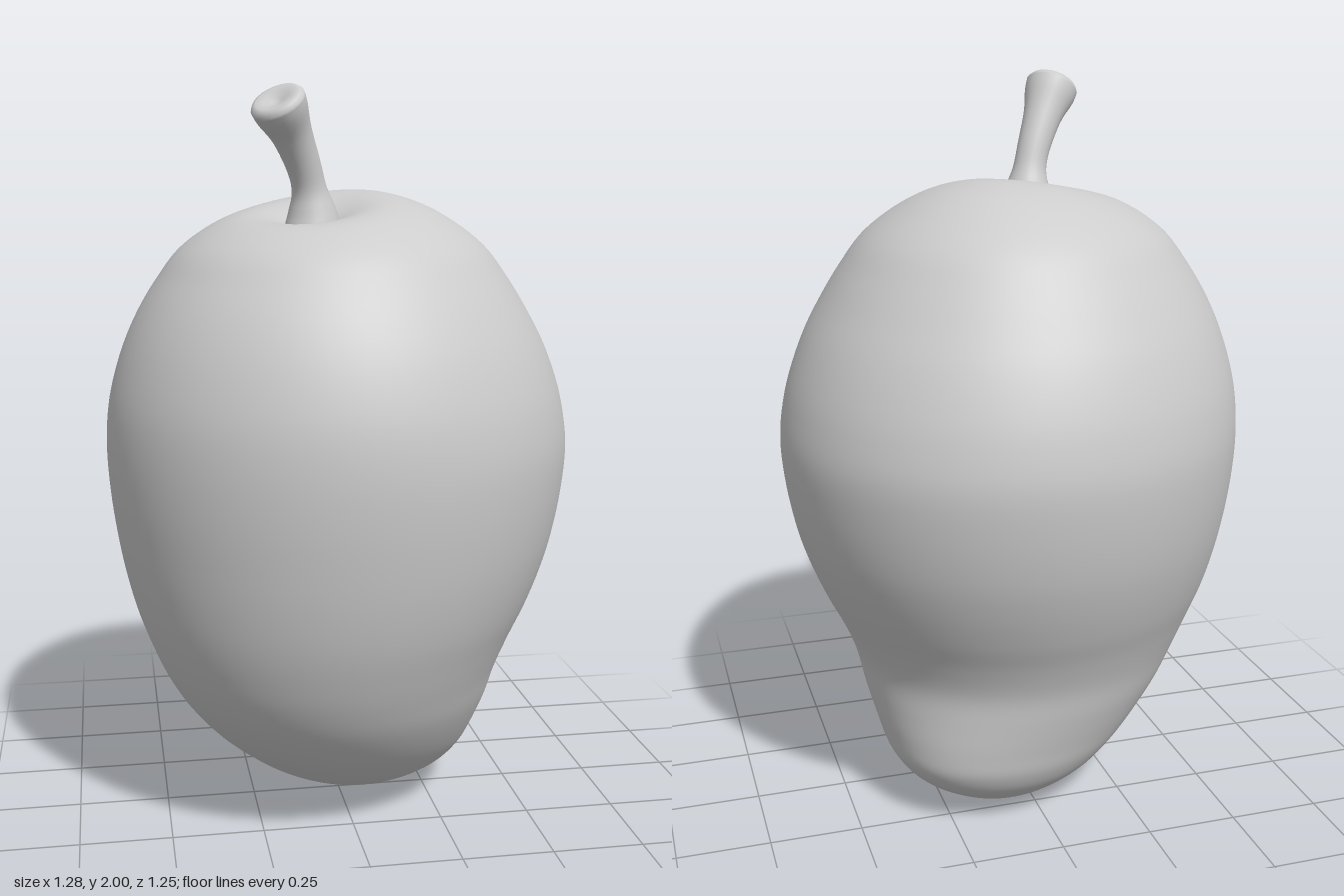
import * as THREE from 'three';
import { mergeVertices } from 'three/addons/utils/BufferGeometryUtils.js';

// Skin a stack of closed rings (each an array of Vector3) with smooth normals
function loft(rings) {
  const n = rings[0].length;
  const index = [];
  for (let i = 0; i < rings.length - 1; i++) {
    for (let j = 0; j < n; j++) {
      const k = (j + 1) % n;
      const a = i * n + j, b = i * n + k, c = (i + 1) * n + k, d = (i + 1) * n + j;
      index.push(a, b, c, a, c, d);
    }
  }
  const geometry = new THREE.BufferGeometry().setFromPoints(rings.flat());
  geometry.setIndex(index);
  const merged = mergeVertices(geometry, 1e-5);
  merged.computeVertexNormals();
  return merged;
}

const BEAK = new THREE.Vector3(1, 0, -1).normalize(); // direction the beak leans
const SIDE = new THREE.Vector3(-1, 0, -1).normalize();
const STEM_X = -0.09, STEM_Z = 0.12;

// Fruit: horizontal ellipses whose centres drift along the beak direction
function fruitGeometry() {
  // [height, reach on the beak side, reach on the far side]
  const profile = new THREE.CatmullRomCurve3([
    [0, 0.108, -0.108], [0.006, 0.175, -0.02], [0.035, 0.255, 0.095], [0.1, 0.34, 0.215],
    [0.16, 0.378, 0.292], [0.23, 0.398, 0.365], [0.33, 0.425, 0.444], [0.42, 0.446, 0.495],
    [0.51, 0.482, 0.534], [0.6, 0.526, 0.566], [0.7, 0.567, 0.592], [0.8, 0.598, 0.611],
    [0.93, 0.622, 0.628], [1.05, 0.63, 0.634], [1.15, 0.616, 0.628], [1.23, 0.594, 0.613],
    [1.33, 0.554, 0.582], [1.42, 0.505, 0.541], [1.5, 0.455, 0.492], [1.58, 0.395, 0.43],
    [1.65, 0.308, 0.33], [1.7, 0.215, 0.205], [1.73, 0.11, 0.07], [1.737, 0.028, -0.028],
  ].map(([y, u, v]) => new THREE.Vector3((u + v) / 2, y, (u - v) * Math.SQRT1_2)), false, 'centripetal');

  const rings = profile.getPoints(138).map((p) => {
    const ring = [];
    const r = Math.max(p.x, 0);
    // Swelling of the beak on its leaning side, and its slight turn sideways at the tip
    const swell = 0.035 * Math.exp(-(((p.y - 0.2) / 0.14) ** 2)) * Math.min(1, r * 4);
    const turn = 0.035 * Math.exp(-p.y / 0.12);
    for (let j = 0; j < 80; j++) {
      const t = (j / 80) * Math.PI * 2;
      const bump = swell * Math.max(0, Math.cos(t)) ** 3;
      const v = new THREE.Vector3()
        .addScaledVector(BEAK, p.z + (r * 1.025 + bump) * Math.cos(t))
        .addScaledVector(SIDE, turn + r * 0.98 * Math.sin(t));
      v.x *= 1.01;
      v.z *= 0.99;
      // Hollow around the stem
      const d2 = (v.x - STEM_X) ** 2 + (v.z - STEM_Z) ** 2;
      v.y = p.y - (p.y > 1.2 ? 0.075 * Math.exp(-d2 / 0.016) : 0);
      ring.push(v);
    }
    return ring;
  });
  return loft(rings);
}

// Stem: round sections along a bent path, flared at both ends, with a dished tip
function stemGeometry() {
  const path = new THREE.CatmullRomCurve3([
    [STEM_X, 1.59, STEM_Z], [-0.09, 1.67, 0.122], [-0.108, 1.77, 0.14],
    [-0.148, 1.87, 0.175], [-0.192, 1.953, 0.22],
  ].map((p) => new THREE.Vector3(...p)));
  const radius = new THREE.SplineCurve([
    [0, 0.078], [0.12, 0.075], [0.24, 0.062], [0.36, 0.047], [0.5, 0.045],
    [0.75, 0.053], [0.92, 0.069], [1, 0.073],
  ].map((p) => new THREE.Vector2(...p)));

  const section = (u, r, lift = 0) => {
    const axis = path.getTangentAt(u);
    const e1 = new THREE.Vector3(0, 0, 1).cross(axis).normalize();
    const e2 = axis.clone().cross(e1);
    const centre = path.getPointAt(u).addScaledVector(axis, lift);
    return Array.from({ length: 24 }, (_, j) => {
      const t = (j / 24) * Math.PI * 2;
      return centre.clone().addScaledVector(e1, r * Math.cos(t)).addScaledVector(e2, r * Math.sin(t));
    });
  };

  const rings = [];
  for (let i = 0; i <= 24; i++) {
    const p = radius.getPoint(i / 24);
    rings.push(section(Math.min(1, Math.max(0, p.x)), p.y));
  }
  // Rounded rim and dished end
  for (const [r, lift] of [[0.066, 0.01], [0.055, 0.014], [0.035, 0.01], [0.015, 0.002], [0, 0]]) {
    rings.push(section(1, r, lift));
  }
  return loft(rings);
}

export function createModel() {
  const grey = new THREE.MeshStandardMaterial({ color: 0xcccccc });
  grey.name = 'plain grey';

  const model = new THREE.Group();
  model.name = 'mango';
  for (const [name, geometry] of [['fruit', fruitGeometry()], ['stem', stemGeometry()]]) {
    const mesh = new THREE.Mesh(geometry, grey);
    mesh.name = name;
    model.add(mesh);
  }
  return model;
}
